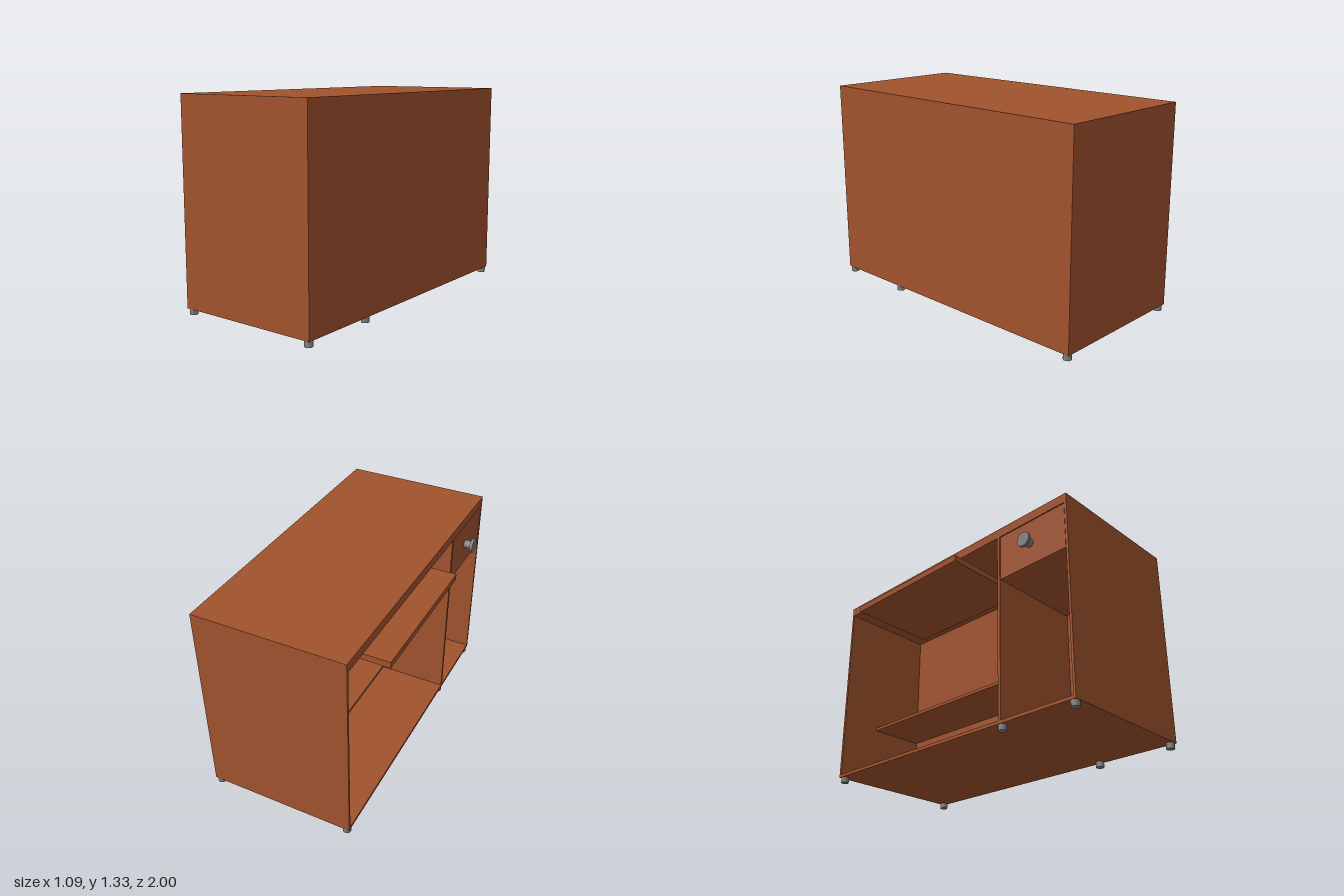
import * as THREE from 'three';

export function createModel() {
  const model = new THREE.Group();
  model.name = 'counterDesk';
  const wood = new THREE.MeshStandardMaterial({ name: 'brown wood', color: 0xa0522d });
  const metal = new THREE.MeshStandardMaterial({ name: 'grey metal', color: 0x808080 });

  // Wooden board given by its lower and upper corners
  function board(name, [x0, y0, z0], [x1, y1, z1], parent = model) {
    const mesh = new THREE.Mesh(new THREE.BoxGeometry(x1 - x0, y1 - y0, z1 - z0), wood);
    mesh.position.set((x0 + x1) / 2, (y0 + y1) / 2, (z0 + z1) / 2);
    mesh.name = name;
    parent.add(mesh);
    return mesh;
  }

  const openX = -0.42, closedX = 0.54, backX = 0.23;
  const bottom = 0.036, top = 1.325, floorY = 0.056, ceilY = 1.265;
  const t = 0.016, dividerZ = 0.455;

  // Outer shell, open towards -x
  board('bottomPanel', [openX, bottom, -1], [closedX, floorY, 1]);
  board('topPanel', [openX, ceilY, -1], [closedX, top, 1]);
  board('outerPanel', [closedX - t, floorY, -1 + t], [closedX, ceilY, 1 - t]);
  board('frontSidePanel', [openX, floorY, 1 - t], [closedX, ceilY, 1]);
  board('backSidePanel', [openX, floorY, -1], [closedX, ceilY, -1 + t]);

  // Compartments
  board('innerPanel', [backX, floorY, -1 + t], [backX + t, ceilY, 1 - t]);
  board('divider', [openX, floorY, dividerZ], [backX, ceilY, dividerZ + 0.02]);
  board('shelf', [-0.15, 0.44, -1 + t], [backX, 0.46, dividerZ]);
  board('slidingTray', [-0.545, 1.155, -0.74], [0.05, 1.195, 0.21]);

  // Drawer with its knob
  const drawer = new THREE.Group();
  drawer.name = 'drawer';
  model.add(drawer);
  board('drawerBox', [openX + 0.003, 0.96, dividerZ + 0.024], [backX - 0.02, ceilY - 0.004, 1 - t - 0.004], drawer);

  function knobPart(name, radius, x0, x1) {
    const mesh = new THREE.Mesh(new THREE.CylinderGeometry(radius, radius, x1 - x0, 12), metal);
    mesh.rotation.z = Math.PI / 2;
    mesh.position.set((x0 + x1) / 2, 1.107, 0.717);
    mesh.name = name;
    drawer.add(mesh);
  }
  knobPart('knobStem', 0.027, -0.466, openX + 0.004);
  knobPart('knobCap', 0.047, -0.482, -0.464);

  // Feet: three along each long side
  const footShape = new THREE.CylinderGeometry(0.026, 0.026, bottom, 10);
  for (const x of [-0.392, 0.514]) {
    for (const z of [-0.973, 0.462, 0.973]) {
      const foot = new THREE.Mesh(footShape, metal);
      foot.position.set(x, bottom / 2, z);
      foot.name = 'foot';
      model.add(foot);
    }
  }
  return model;
}
